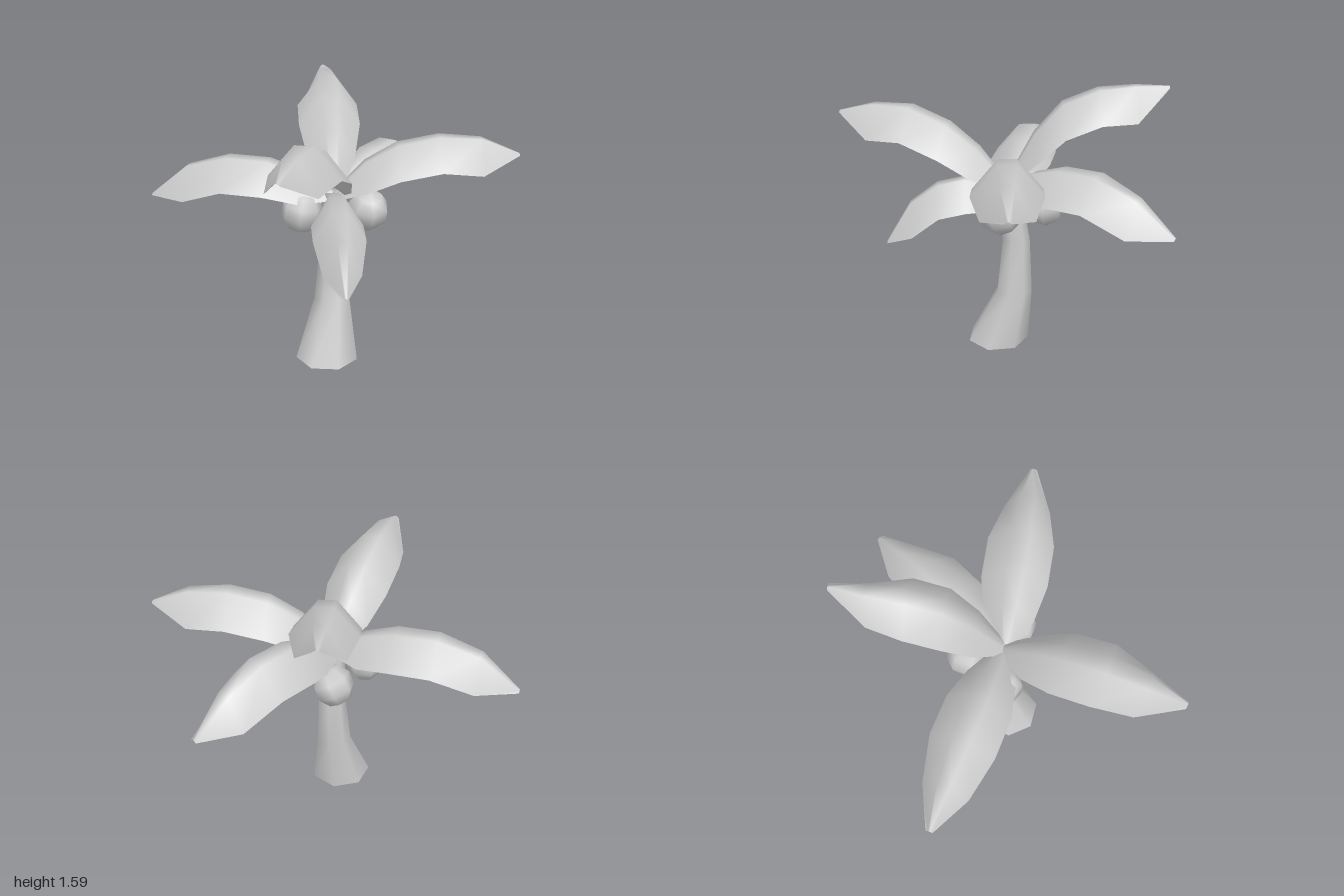
import * as THREE from 'three';
import { mergeVertices } from 'three/addons/utils/BufferGeometryUtils.js';

const shell = new THREE.MeshStandardMaterial({ color: 0xcccccc });
// Trunk and leaves are open surfaces
const open = new THREE.MeshStandardMaterial({ color: 0xcccccc, side: THREE.DoubleSide });

const CROWN = new THREE.Vector3(-0.05, 1.0, 0.07);

// Shared frond sections: fraction of length, half width, fold depth
const SECTIONS = [
  [0, 0.05, 0.04],
  [0.17, 0.145, 0.15],
  [0.345, 0.19, 0.165],
  [0.565, 0.19, 0.165],
  [0.79, 0.135, 0.185],
  [1, 0.02, 0.01],
];

// Points across a section: position sideways, share of the fold depth
const ACROSS = [[-1, 1], [-0.27, 0], [0.27, 0], [1, 1]];

// Each frond: tip x and z, then the ridge height at every section
const FRONDS = [
  { tip: [1.0, 0.03], ridge: [1.02, 1.13, 1.19, 1.2, 1.115, 0.95] },
  { tip: [-1.0, 0.44], ridge: [1.04, 1.23, 1.36, 1.445, 1.445, 1.39] },
  { tip: [0.59, 0.9], ridge: [1.02, 1.2, 1.3, 1.345, 1.33, 1.24] },
  { tip: [0.64, -0.51], ridge: [1.06, 1.33, 1.5, 1.575, 1.59, 1.585] },
  { tip: [-0.525, -0.91], ridge: [1.02, 1.13, 1.19, 1.2, 1.135, 0.95] },
  { tip: [-0.585, 0.53], ridge: [1.0, 1.05, 1.07, 1.04, 0.93, 0.69] },
];

// Arched leaf, narrow along the top and folded down to both edges
function frondGeometry({ tip, ridge }) {
  const along = new THREE.Vector3(tip[0] - CROWN.x, 0, tip[1] - CROWN.z);
  const length = along.length();
  along.normalize();
  const side = new THREE.Vector3(-along.z, 0, along.x);
  const n = ACROSS.length;
  const positions = [];
  const index = [];
  SECTIONS.forEach(([t, halfWidth, fold], i) => {
    for (const [s, drop] of ACROSS) {
      const p = CROWN.clone()
        .addScaledVector(along, t * length)
        .addScaledVector(side, s * halfWidth * Math.min(1, length + 0.05));
      positions.push(p.x, ridge[i] - drop * fold, p.z);
    }
    if (i === 0) return;
    for (let j = 0; j < n - 1; j++) {
      const a = (i - 1) * n + j;
      index.push(a, a + 1, a + n, a + 1, a + n + 1, a + n);
    }
  });
  const geometry = new THREE.BufferGeometry();
  geometry.setAttribute('position', new THREE.Float32BufferAttribute(positions, 3));
  geometry.setIndex(index);
  geometry.computeVertexNormals();
  return geometry;
}

// Leaning seven-sided trunk, flared at the foot and open underneath
function trunkGeometry() {
  const height = 1.03;
  // centre x, centre z, radius, from the foot up
  const rings = [
    [-0.125, 0.08, 0.187],
    [-0.025, 0.045, 0.108],
    [-0.01, 0.045, 0.082],
    [-0.05, 0.06, 0.062],
  ];
  let geometry = new THREE.CylinderGeometry(1, 1, height, 7, rings.length - 1, true);
  geometry.rotateY(-Math.PI * 0.75);
  geometry.translate(0, height / 2, 0);
  const p = geometry.attributes.position;
  for (let i = 0; i < p.count; i++) {
    const [cx, cz, r] = rings[Math.round((p.getY(i) / height) * (rings.length - 1))];
    p.setXYZ(i, cx + p.getX(i) * r, p.getY(i), cz + p.getZ(i) * r);
  }
  geometry.deleteAttribute('uv');
  geometry = mergeVertices(geometry);
  geometry.computeVertexNormals();
  return geometry;
}

export function createModel() {
  const model = new THREE.Group();
  model.name = 'palmTree';

  const add = (name, geometry, material) => {
    const mesh = new THREE.Mesh(geometry, material);
    mesh.name = name;
    model.add(mesh);
    return mesh;
  };

  add('trunk', trunkGeometry(), open);

  FRONDS.forEach((frond, i) => add(`frond${i + 1}`, frondGeometry(frond), open));

  // Coconuts hanging around the top of the trunk
  const nut = new THREE.SphereGeometry(0.122, 7, 5);
  [
    [0.035, 0.925, 0.25],
    [0.1, 0.88, -0.08],
    [-0.18, 0.91, -0.06],
  ].forEach(([x, y, z], i) => {
    const mesh = add(`coconut${i + 1}`, nut, shell);
    mesh.position.set(x, y, z);
    mesh.rotation.set(0.3, i * 2.1, 0.2);
  });

  return model;
}
